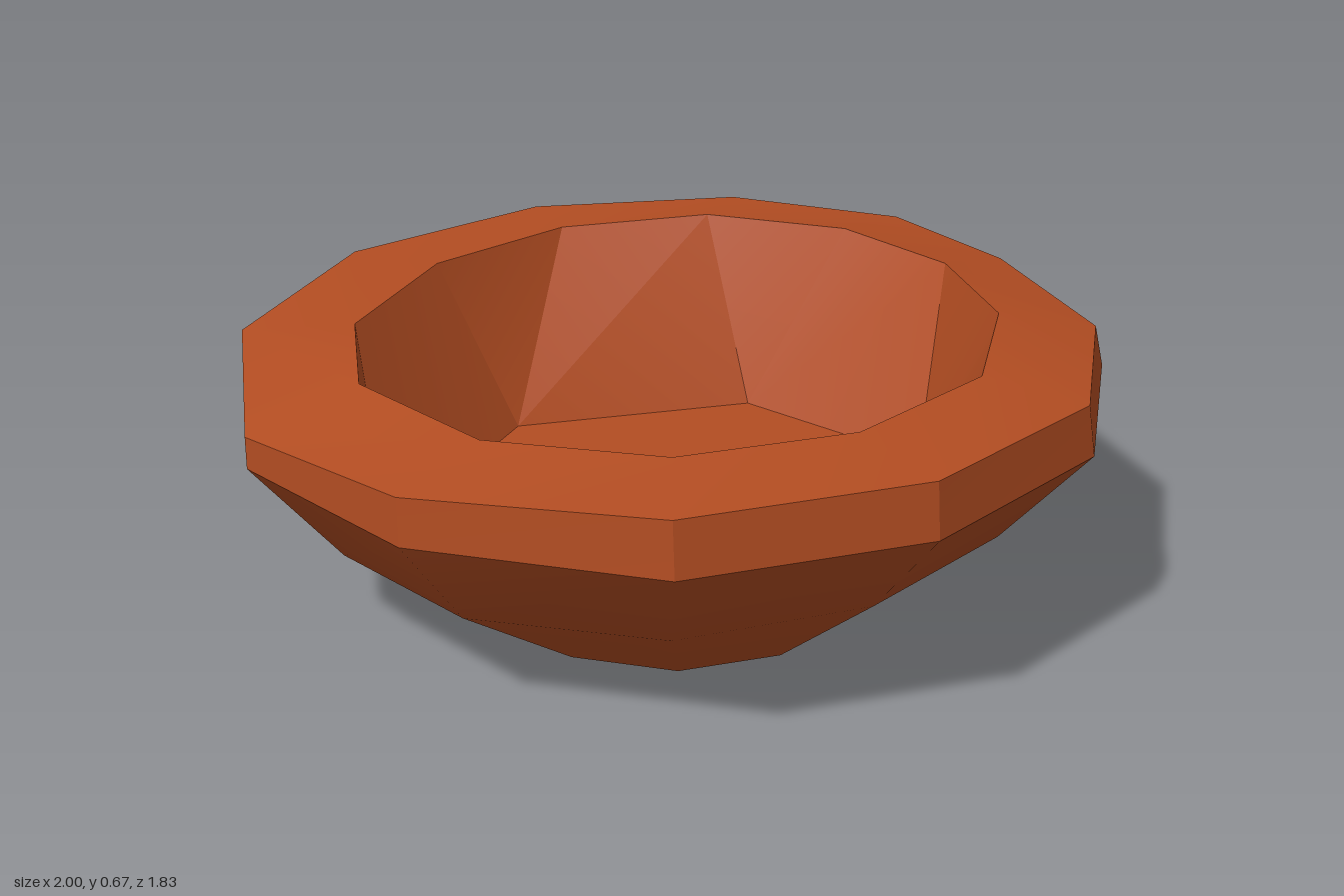
import * as THREE from 'three';
import { toCreasedNormals } from 'three/addons/utils/BufferGeometryUtils.js';

// Hand-shaped outlines as [x, z, ...heights], starting at the back and running towards +x
const outer = [ // x, z, height of lower lip edge, height of upper lip edge
  [0.07, -0.92, 0.525, 0.66], [0.56, -0.75, 0.535, 0.66], [0.88, -0.46, 0.515, 0.645],
  [1.0, -0.16, 0.51, 0.61], [0.94, 0.32, 0.51, 0.61], [0.62, 0.73, 0.51, 0.63],
  [0.11, 0.91, 0.505, 0.635], [-0.44, 0.81, 0.5, 0.63], [-0.86, 0.42, 0.5, 0.61],
  [-1.0, -0.09, 0.495, 0.57], [-0.84, -0.56, 0.51, 0.62], [-0.45, -0.85, 0.52, 0.65],
];
const inner = [ // x, z, height
  [0.06, -0.74, 0.66], [0.41, -0.63, 0.67], [0.66, -0.38, 0.67], [0.76, -0.08, 0.66],
  [0.69, 0.25, 0.66], [0.45, 0.54, 0.66], [0.07, 0.66, 0.655], [-0.33, 0.59, 0.655],
  [-0.63, 0.31, 0.645], [-0.74, -0.08, 0.645], [-0.62, -0.41, 0.645], [-0.31, -0.66, 0.655],
];
const floorCorners = [
  [-0.15, -0.57], [0.42, -0.43], [0.62, 0.05], [0.16, 0.51], [-0.5, 0.38], [-0.65, -0.17],
];
// Which floor corner each inner lip corner runs down to
const floorOf = [0, 1, 1, 2, 2, 3, 3, 4, 4, 5, 5, 0];

const v = (x, y, z) => new THREE.Vector3(x, y, z);

// Joins each ring to the next, bottom to top on the outside; caps are [ring, height, facesUp]
function skin(rings, cap) {
  const points = [], ids = new Map(), index = [];
  const id = (p) => {
    const key = p.toArray().join();
    if (!ids.has(key)) {
      ids.set(key, points.length);
      points.push(p);
    }
    return ids.get(key);
  };
  const tri = (a, b, c) => {
    const t = [id(a), id(b), id(c)];
    if (new Set(t).size === 3) index.push(...t);
  };
  for (let r = 0; r + 1 < rings.length; r++) {
    const a = rings[r], b = rings[r + 1];
    for (let i = 0; i < a.length; i++) {
      const j = (i + 1) % a.length;
      tri(a[j], a[i], b[i]);
      tri(a[j], b[i], b[j]);
    }
  }
  if (cap) {
    const { ring, y, up } = cap;
    ring.forEach((p, i) => {
      const q = ring[(i + 1) % ring.length];
      if (up) tri(v(0, y, 0), q, p);
      else tri(v(0, y, 0), p, q);
    });
  }
  const g = new THREE.BufferGeometry().setFromPoints(points);
  g.setIndex(index);
  g.computeVertexNormals();
  return g;
}

export function createModel() {
  const bowl = new THREE.Group();
  bowl.name = 'bowl';
  const clay = new THREE.MeshStandardMaterial({ color: 0xb34d22 });
  clay.name = 'terracotta';

  const foot = outer.map(([x, z]) => v(x * 0.43, 0.006, z * 0.43));
  const belly = outer.map(([x, z]) => v(x * 0.8, 0.265 + x * 0.015, z * 0.775));
  const lipLow = outer.map(([x, z, y]) => v(x, y, z));
  const lipTop = outer.map(([x, z, , y]) => v(x > 0 ? x * 0.975 : x, y, z * 0.99));
  const lipInner = inner.map(([x, z, y]) => v(x, y, z));
  const well = floorCorners.map(([x, z]) => v(x, 0.23, z));
  const wellRing = floorOf.map((k) => well[k]);

  const add = (name, geometry) => {
    const mesh = new THREE.Mesh(geometry, clay);
    mesh.name = name;
    bowl.add(mesh);
  };
  // Smooth outer wall, faceted lip band, soft sloping rim and creased inside
  add('outerWall', skin([foot, belly, lipLow]));
  add('base', skin([], { ring: foot, y: 0, up: false }));
  add('lipBand', toCreasedNormals(skin([lipLow, lipTop]), 0.4));
  add('rim', skin([lipTop, lipInner]));
  add('innerWall', toCreasedNormals(skin([lipInner, wellRing]), 0.5));
  add('innerFloor', skin([], { ring: well, y: 0.22, up: true }));
  return bowl;
}
